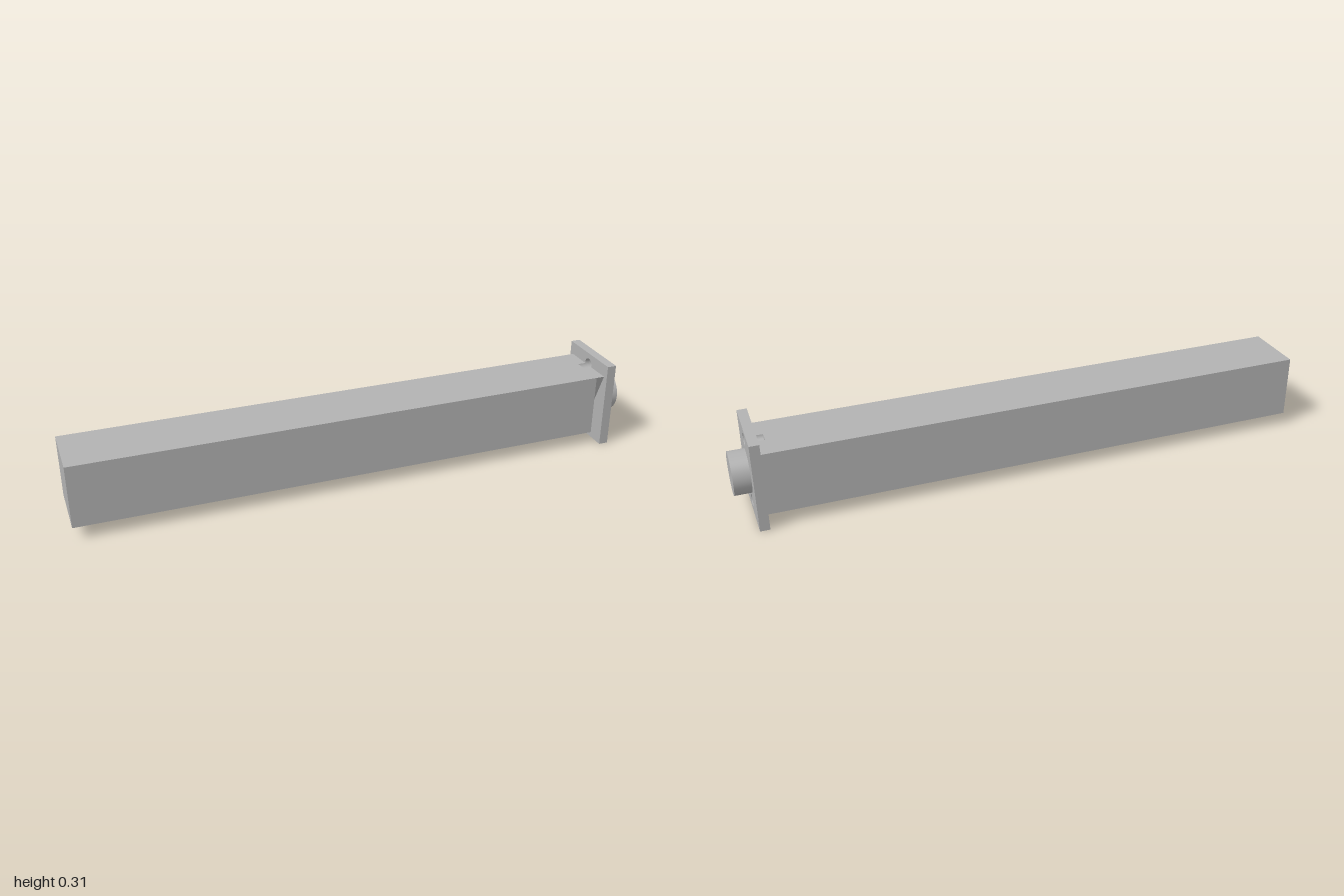
import * as THREE from 'three';

const CY = 0.1555;          // height of the long axis
const HOLE_R = 0.0207;      // screw hole radius
const HOLE_OFFSET = 0.1145; // screw hole distance from the axis
const BODY_Z = 0.109, BODY_Y = 0.11;
const PLATE_Z = 0.1275;
const X_NOTCH = 0.88, X_BODY = 0.91, X_PLATE = 0.943;

export function createModel() {
  const group = new THREE.Group();
  const grey = new THREE.MeshStandardMaterial({ color: 0xb2b2b2 });
  grey.name = 'grey metal';

  const add = (name, geometry) => {
    const mesh = new THREE.Mesh(geometry, grey);
    mesh.name = name;
    group.add(mesh);
    return mesh;
  };
  // Extrude a cross-section (drawn around the axis) along x
  const extrudeX = (name, shape, x0, x1) => {
    const geometry = new THREE.ExtrudeGeometry(shape, { depth: x1 - x0, bevelEnabled: false, curveSegments: 32 });
    geometry.rotateY(Math.PI / 2);
    add(name, geometry).position.set(x0, CY, 0);
  };

  // Long square bar
  const bar = new THREE.BoxGeometry(X_NOTCH + 1, BODY_Y * 2, BODY_Z * 2);
  add('bar', bar).position.set((X_NOTCH - 1) / 2, CY, 0);

  // End of the bar, with the screw holes cut into its top and bottom
  const a = Math.asin((HOLE_OFFSET - BODY_Y) / HOLE_R);
  const end = new THREE.Shape();
  end.moveTo(-BODY_Z, -BODY_Y);
  end.absarc(0, -HOLE_OFFSET, HOLE_R, Math.PI - a, a, true);
  end.lineTo(BODY_Z, -BODY_Y);
  end.lineTo(BODY_Z, BODY_Y);
  end.absarc(0, HOLE_OFFSET, HOLE_R, -a, a - Math.PI, true);
  end.lineTo(-BODY_Z, BODY_Y);
  end.closePath();
  extrudeX('notchedBarEnd', end, X_NOTCH, X_BODY);

  // Mounting plate with two screw holes
  const plate = new THREE.Shape();
  plate.moveTo(-PLATE_Z, -CY);
  plate.lineTo(PLATE_Z, -CY);
  plate.lineTo(PLATE_Z, CY);
  plate.lineTo(-PLATE_Z, CY);
  plate.closePath();
  for (const side of [-1, 1]) {
    const hole = new THREE.Path();
    hole.absarc(0, side * HOLE_OFFSET, HOLE_R, 0, Math.PI * 2, true);
    plate.holes.push(hole);
  }
  extrudeX('mountingPlate', plate, X_BODY, X_PLATE);

  // Round boss on the plate
  const boss = new THREE.CylinderGeometry(0.0727, 0.0727, 1 - X_PLATE, 64);
  boss.rotateZ(-Math.PI / 2);
  add('boss', boss).position.set((1 + X_PLATE) / 2, CY, 0);

  return group;
}
